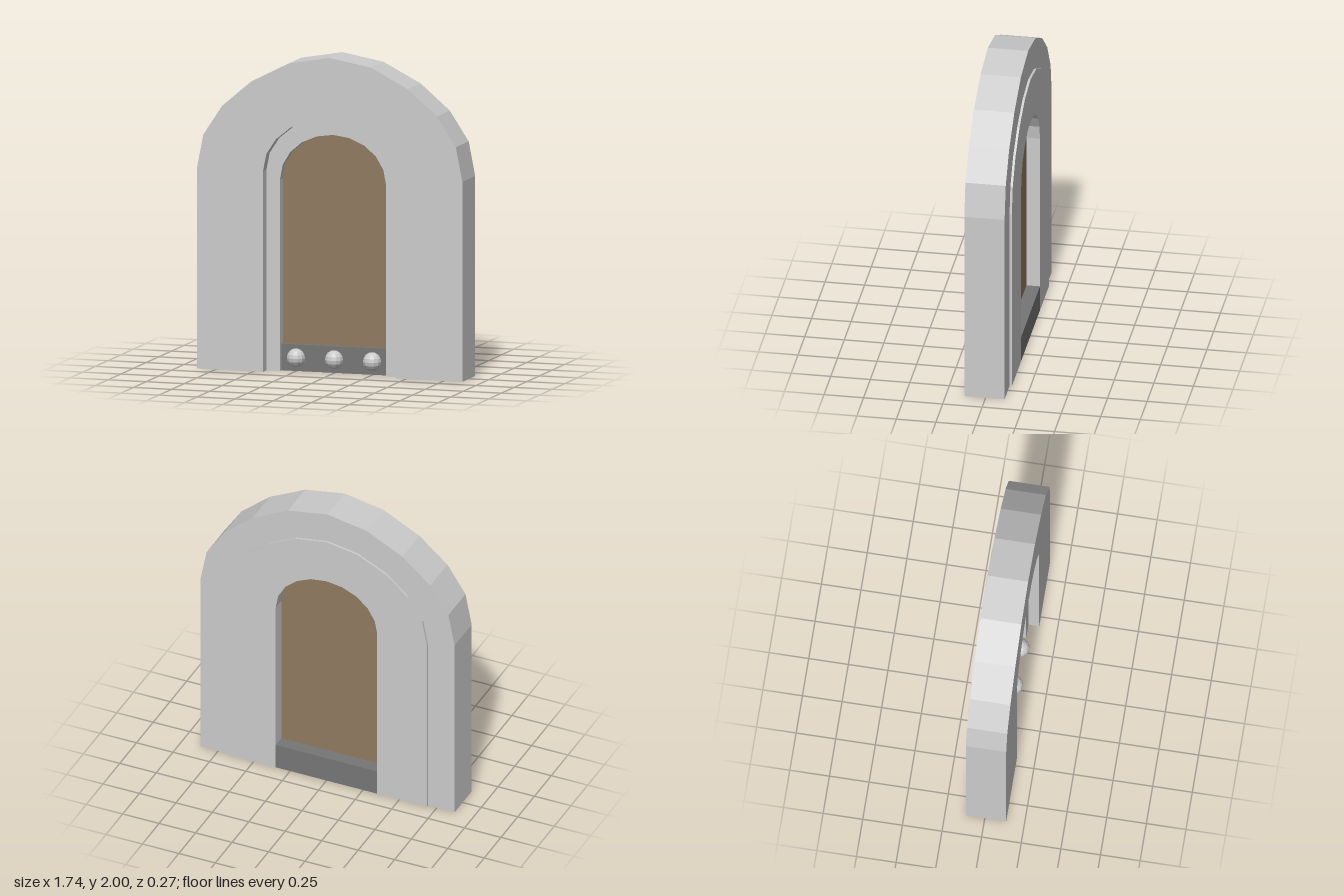
import * as THREE from 'three';

const grey = new THREE.MeshStandardMaterial({ color: 0xcccccc, flatShading: true });
const wood = new THREE.MeshStandardMaterial({ color: 0x8f7a60, flatShading: true });
const dark = new THREE.MeshStandardMaterial({ color: 0x767676, flatShading: true });

// Points over an arch from right foot to left foot; flat lowers the shoulders a little
function archPoints(halfWidth, spring, top, flat = 0) {
  const pts = [new THREE.Vector2(halfWidth, 0)];
  for (let i = 0; i <= 10; i++) {
    const a = (i / 10) * Math.PI;
    const h = Math.sin(a) - flat * Math.sin(2 * a) ** 2;
    pts.push(new THREE.Vector2(halfWidth * Math.cos(a), spring + (top - spring) * h));
  }
  pts.push(new THREE.Vector2(-halfWidth, 0));
  return pts;
}

// Extrudes an outline between two depths
function slab(name, pts, z0, z1, material) {
  const geo = new THREE.ExtrudeGeometry(new THREE.Shape(pts), { depth: z1 - z0, bevelEnabled: false });
  geo.translate(0, 0, z0);
  const mesh = new THREE.Mesh(geo, material);
  mesh.name = name;
  return mesh;
}

// Joins an outer and an inner arch into one band, open at the floor
const band = (outer, inner) => [...outer, ...inner.reverse()];

export function createModel() {
  const model = new THREE.Group();
  model.name = 'archedDoorway';

  // Thick outer surround and the inner frame stepped back from it
  model.add(slab('outerArch',
    band(archPoints(0.872, 1.26, 2, 0.045), archPoints(0.437, 1.265, 1.625, 0.025)), -0.12, 0.135, grey));
  model.add(slab('innerFrame',
    band(archPoints(0.69, 1.21, 1.8, 0.03), archPoints(0.348, 1.207, 1.505)), -0.135, 0.067, grey));

  // Door panel
  model.add(slab('doorPanel', archPoints(0.348, 1.207, 1.505), -0.05, 0.01, wood));

  // Sill across the foot of the door
  const sill = new THREE.Mesh(new THREE.BoxGeometry(0.696, 0.168, 0.174), dark);
  sill.name = 'sill';
  sill.position.set(0, 0.085, -0.048);
  model.add(sill);

  // Round studs on the sill
  for (const x of [-0.25, 0, 0.25]) {
    const stud = new THREE.Mesh(new THREE.SphereGeometry(0.059, 12, 8), grey);
    stud.name = 'stud';
    stud.position.set(x, 0.085, 0.045);
    model.add(stud);
  }
  return model;
}
